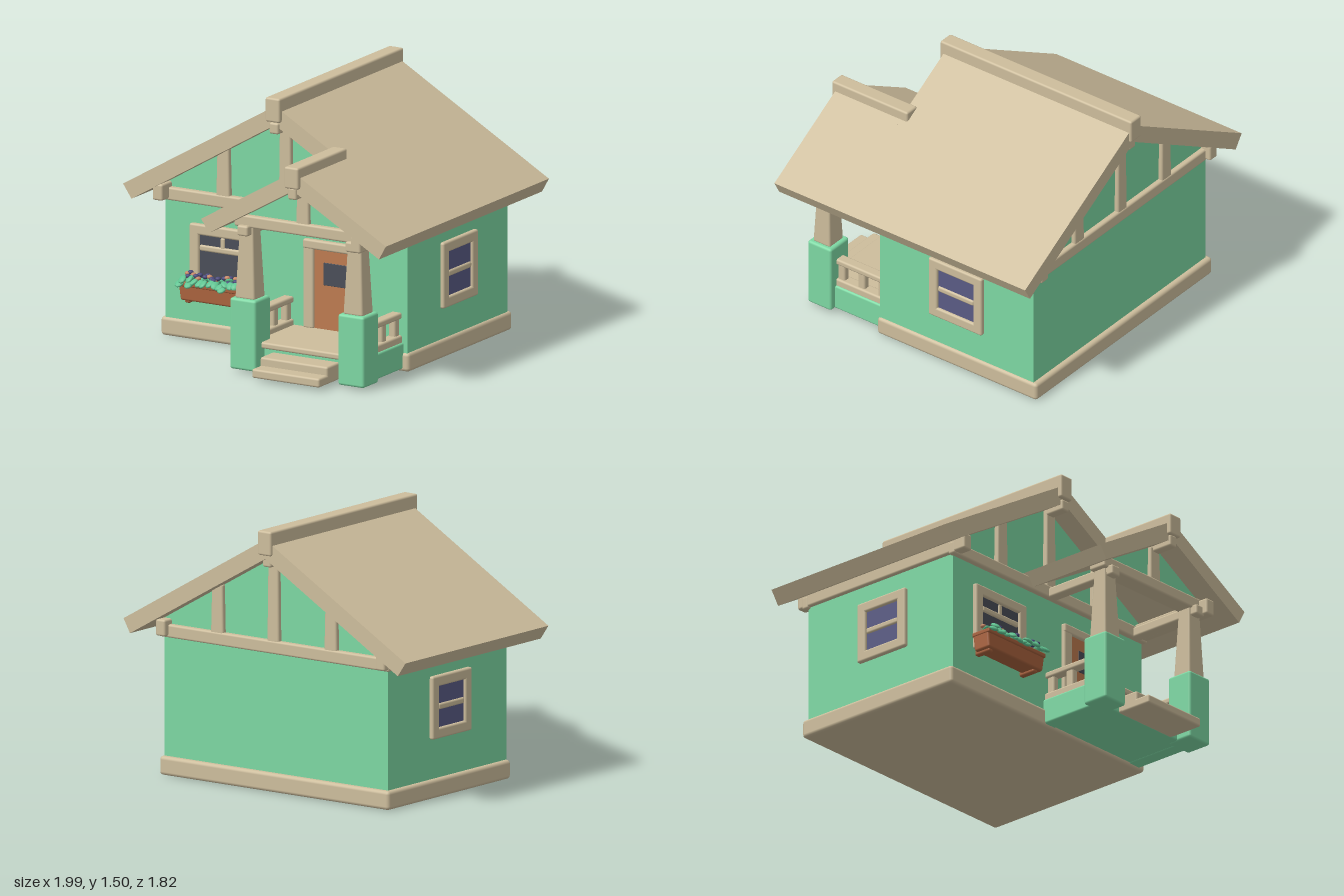
import * as THREE from 'three';
import { RoundedBoxGeometry } from 'three/addons/geometries/RoundedBoxGeometry.js';

const mat = (name, color) => Object.assign(new THREE.MeshStandardMaterial({ color }), { name });

export function createModel() {
  const house = new THREE.Group();
  house.name = 'cottage';
  const wood = mat('tan trim', 0xcdbd9c);
  const green = mat('mint plaster', 0x7dd8a3);
  const doorWood = mat('door wood', 0xbd7b50);
  const clay = mat('planter clay', 0xa9623d);
  const darkGlass = mat('dark glass', 0x4a4e58);
  const blueGlass = mat('blue glass', 0x5a5b84);
  const leafGreen = mat('leaf green', 0x5fc491);
  const violet = mat('violet petals', 0x4b4a7c);
  const coral = mat('coral petals', 0xc98a68);

  const add = (name, geometry, material, parent = house) => {
    const mesh = new THREE.Mesh(geometry, material);
    mesh.name = name;
    parent.add(mesh);
    return mesh;
  };

  // Softly rounded block between two corners; taper scales the top end in x and z
  const block = (name, material, [x0, x1], [y0, y1], [z0, z1], { r = 0.012, taper = 1, parent = house } = {}) => {
    const w = x1 - x0, h = y1 - y0, d = z1 - z0;
    const g = new RoundedBoxGeometry(w, h, d, 2, Math.min(r, w / 3, h / 3, d / 3));
    const p = g.attributes.position;
    for (let i = 0; taper !== 1 && i < p.count; i++) {
      const k = 1 + (taper - 1) * (p.getY(i) / h + 0.5);
      p.setX(i, p.getX(i) * k);
      p.setZ(i, p.getZ(i) * k);
    }
    const mesh = add(name, g, material, parent);
    mesh.position.set((x0 + x1) / 2, (y0 + y1) / 2, (z0 + z1) / 2);
    return mesh;
  };

  // Outline in x and y, extruded from z0 to z1
  const prism = (name, material, points, z0, z1) => {
    const shape = new THREE.Shape(points.map(([x, y]) => new THREE.Vector2(x, y)));
    const g = new THREE.ExtrudeGeometry(shape, { depth: z1 - z0, bevelEnabled: false });
    g.translate(0, 0, z0);
    return add(name, g, material);
  };

  // Main body with gables, and the base course
  prism('walls', green, [[-0.795, 0.02], [0.785, 0.02], [0.785, 0.9], [-0.005, 1.38], [-0.795, 0.9]], -0.795, 0.285);
  block('baseCourse', wood, [-0.82, 0.8], [0, 0.108], [-0.825, 0.297], { r: 0.02 });

  // Roof slopes; the right one runs forward over the porch
  prism('roofLeft', wood, [[-0.995, 0.875], [-0.94, 0.795], [-0.005, 1.345], [-0.005, 1.455]], -0.895, 0.41);
  prism('roofRight', wood, [[0.995, 0.88], [-0.005, 1.455], [-0.005, 1.345], [0.95, 0.8]], -0.895, 0.41);
  prism('porchRoofRight', wood, [[0.995, 0.88], [0.39, 1.228], [0.39, 1.12], [0.95, 0.8]], 0.405, 0.868);
  prism('porchRoofLeft', wood, [[-0.21, 0.88], [-0.16, 0.805], [0.39, 1.12], [0.39, 1.228]], 0.285, 0.868);

  // Ridge caps and the beams just below them
  block('ridgeCap', wood, [-0.055, 0.04], [1.365, 1.505], [-0.91, 0.435]);
  block('ridgeBeam', wood, [-0.035, 0.025], [1.295, 1.36], [-0.885, 0.425]);
  block('porchRidgeCap', wood, [0.345, 0.437], [1.135, 1.26], [0.36, 0.893]);
  block('porchRidgeBeam', wood, [0.36, 0.417], [1.07, 1.14], [0.65, 0.88]);

  // Timber framing on both gables
  for (const [end, z0, z1] of [['front', 0.27, 0.318], ['back', -0.826, -0.78]]) {
    block(end + 'GableBand', wood, [-0.82, 0.8], [0.79, 0.865], [z0, z1]);
    for (const [x, top, half] of [[-0.405, 1.14, 0.045], [0, 1.36, 0.042], [0.395, 1.14, 0.045]])
      block(end + 'GablePost', wood, [x - half, x + half], [0.85, top], [z0 + 0.004, z1 - 0.004], { taper: 0.85 });
  }
  for (const [x, zFront] of [[-0.785, 0.39], [0.765, 0.82]])
    block('eaveBeam', wood, [x - 0.033, x + 0.033], [0.8, 0.895], [-0.86, zFront]);

  // Porch gable, its beams and post
  prism('porchGable', green, [[-0.02, 0.86], [0.78, 0.86], [0.78, 0.92], [0.39, 1.14], [-0.02, 0.91]], 0.69, 0.73);
  block('porchFrontBeam', wood, [-0.06, 0.79], [0.835, 0.905], [0.65, 0.762]);
  block('porchGablePost', wood, [0.337, 0.423], [0.89, 1.1], [0.68, 0.755], { taper: 0.88 });

  // Porch sides: pedestal, tapered column, beam, low wall and railing
  for (const x of [0.01, 0.715]) {
    block('columnPedestal', green, [x - 0.085, x + 0.085], [0.015, 0.425], [0.62, 0.785], { r: 0.015 });
    block('porchColumn', wood, [x - 0.064, x + 0.064], [0.42, 0.845], [0.643, 0.763], { taper: 0.68 });
    block('porchSideBeam', wood, [x - 0.035, x + 0.035], [0.79, 0.85], [0.28, 0.79]);
    block('porchSideWall', green, [x - 0.045, x + 0.045], [0.015, 0.165], [0.27, 0.64]);
    block('bottomRail', wood, [x - 0.035, x + 0.035], [0.155, 0.207], [0.28, 0.63]);
    block('topRail', wood, [x - 0.033, x + 0.033], [0.3, 0.337], [0.28, 0.63]);
    for (const z of [0.595, 0.455, 0.315])
      block('baluster', wood, [x - 0.022, x + 0.022], [0.19, 0.31], [z - 0.025, z + 0.025]);
  }

  // Porch floor and steps
  block('porchBase', green, [0.04, 0.69], [0.02, 0.15], [0.28, 0.69]);
  block('porchFloor', wood, [0.04, 0.69], [0.138, 0.175], [0.28, 0.72]);
  block('upperStep', wood, [0.145, 0.585], [0.02, 0.118], [0.68, 0.82]);
  block('lowerStep', wood, [0.145, 0.585], [0.018, 0.07], [0.7, 0.91]);

  // Window facing +z around the origin: frame, middle bar and two panes
  const makeWindow = (name, w, h, glass, mullion) => {
    const g = new THREE.Group();
    g.name = name;
    const f = 0.062, a = w / 2, b = h / 2, depth = [-0.02, 0.024];
    block('frameTop', wood, [-a, a], [b - f, b], depth, { parent: g });
    block('frameBottom', wood, [-a, a], [-b, f - b], depth, { parent: g });
    for (const s of [-1, 1]) {
      const c = s * (a - f / 2);
      block('frameSide', wood, [c - f / 2, c + f / 2], [-b + 0.01, b - 0.01], depth, { parent: g });
    }
    const barY = mullion ? b * 0.32 : 0;
    block('middleBar', wood, [-a + f, a - f], [barY - 0.018, barY + 0.018], [-0.02, 0.018], { parent: g });
    if (mullion) block('mullion', wood, [-0.014, 0.014], [barY, b - f], [-0.02, 0.016], { parent: g });
    add('panes', new THREE.BoxGeometry(w - f, h - f, 0.008), glass, g).position.z = 0.004;
    house.add(g);
    return g;
  };
  makeWindow('frontWindow', 0.425, 0.4, darkGlass, true).position.set(-0.413, 0.475, 0.287);
  const rightWindow = makeWindow('sideWindow', 0.375, 0.38, blueGlass, false);
  rightWindow.position.set(0.785, 0.475, -0.257);
  rightWindow.rotation.y = Math.PI / 2;
  const leftWindow = makeWindow('sideWindow', 0.36, 0.36, blueGlass, false);
  leftWindow.position.set(-0.795, 0.515, -0.235);
  leftWindow.rotation.y = -Math.PI / 2;

  // Door with frame and glass
  block('doorFrameTop', wood, [0.115, 0.53], [0.63, 0.685], [0.27, 0.312]);
  block('doorFrameSide', wood, [0.115, 0.183], [0.17, 0.66], [0.27, 0.308]);
  block('doorFrameSide', wood, [0.459, 0.53], [0.17, 0.66], [0.27, 0.308]);
  block('door', doorWood, [0.18, 0.462], [0.172, 0.64], [0.27, 0.294], { r: 0.004 });
  block('doorGlass', darkGlass, [0.245, 0.395], [0.43, 0.56], [0.29, 0.298], { r: 0.002 });

  // Planter box below the front window
  block('planter', clay, [-0.625, -0.175], [0.252, 0.35], [0.295, 0.405], { taper: 1.06 });
  block('planterRim', clay, [-0.64, -0.162], [0.335, 0.362], [0.288, 0.418], { r: 0.008 });
  for (const x of [-0.59, -0.22]) block('planterBracket', clay, [x - 0.018, x + 0.018], [0.235, 0.27], [0.28, 0.39]);

  // Leaves and blossoms, scattered by a small seeded generator
  let seed = 7;
  const rand = () => (seed = (seed * 16807) % 2147483647) / 2147483647;
  const leaf = new THREE.SphereGeometry(1, 8, 6);
  const petal = new THREE.IcosahedronGeometry(1, 1);
  for (let i = 0; i < 26; i++) {
    const x = -0.615 + 0.43 * (i / 25), front = i % 2;
    const l = add('leaf', leaf, leafGreen);
    l.position.set(x, 0.365 + rand() * 0.02, front ? 0.405 + rand() * 0.03 : 0.33 + rand() * 0.05);
    l.scale.set(0.024, 0.012, 0.032);
    l.rotation.set(front ? 0.6 : -0.5, rand() * 2 - 1, rand() - 0.5);
    const b = add('blossom', petal, i % 3 ? violet : coral);
    b.position.set(x + rand() * 0.02 - 0.01, 0.385 + rand() * 0.022, 0.32 + rand() * 0.085);
    b.scale.set(0.017, 0.012, 0.017);
  }
  for (const x of [-0.615, -0.555, -0.34]) {
    const l = add('hangingLeaf', leaf, leafGreen);
    l.position.set(x, 0.355, 0.432);
    l.scale.set(0.026, 0.012, 0.032);
    l.rotation.x = 0.5;
  }
  return house;
}
